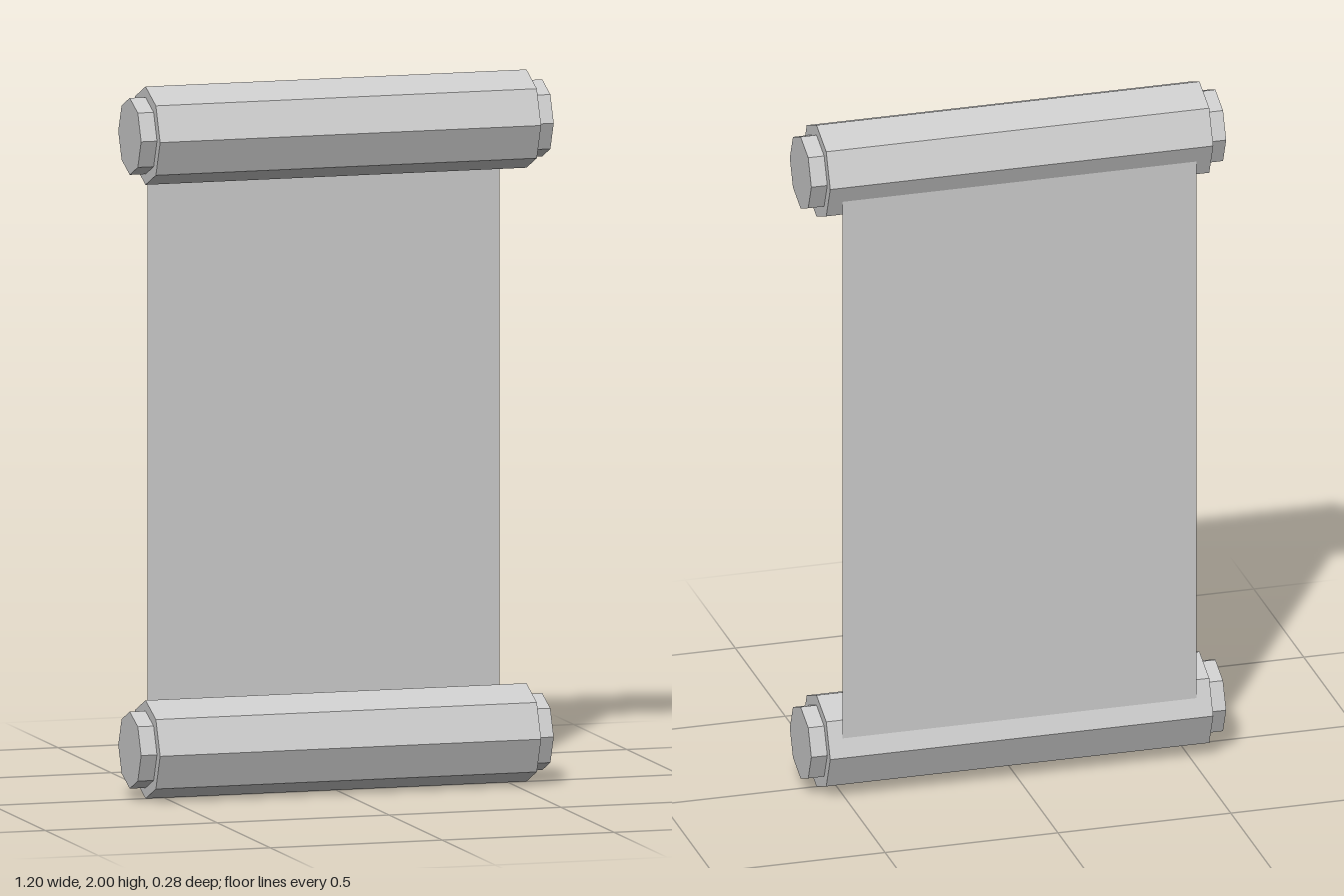
import * as THREE from 'three';

export function createModel() {
  const model = new THREE.Group();
  const mat = new THREE.MeshStandardMaterial({ color: 0xcccccc, flatShading: true });
  const sheetMat = new THREE.MeshStandardMaterial({ color: 0xcccccc, side: THREE.DoubleSide });

  // Eight-sided rod lying along x
  function rod(name, radius, length, x) {
    const geo = new THREE.CylinderGeometry(radius, radius, length, 8).rotateZ(Math.PI / 2);
    const mesh = new THREE.Mesh(geo, mat);
    mesh.name = name;
    mesh.position.x = x;
    return mesh;
  }

  // Roller: thick barrel with a thinner knob on each end
  function roller(name, y) {
    const group = new THREE.Group();
    group.name = name;
    group.add(rod('barrel', 0.138, 1.108, 0));
    group.add(rod('leftKnob', 0.108, 0.046, 0.577));
    group.add(rod('rightKnob', 0.108, 0.046, -0.577));
    group.position.y = y;
    return group;
  }

  model.add(roller('topRoller', 1.862), roller('bottomRoller', 0.138));

  // Thin sheet stretched between the rollers, close to their back
  const sheet = new THREE.Mesh(new THREE.PlaneGeometry(1.024, 1.724), sheetMat);
  sheet.name = 'sheet';
  sheet.position.set(0, 1, -0.117);
  model.add(sheet);

  return model;
}
